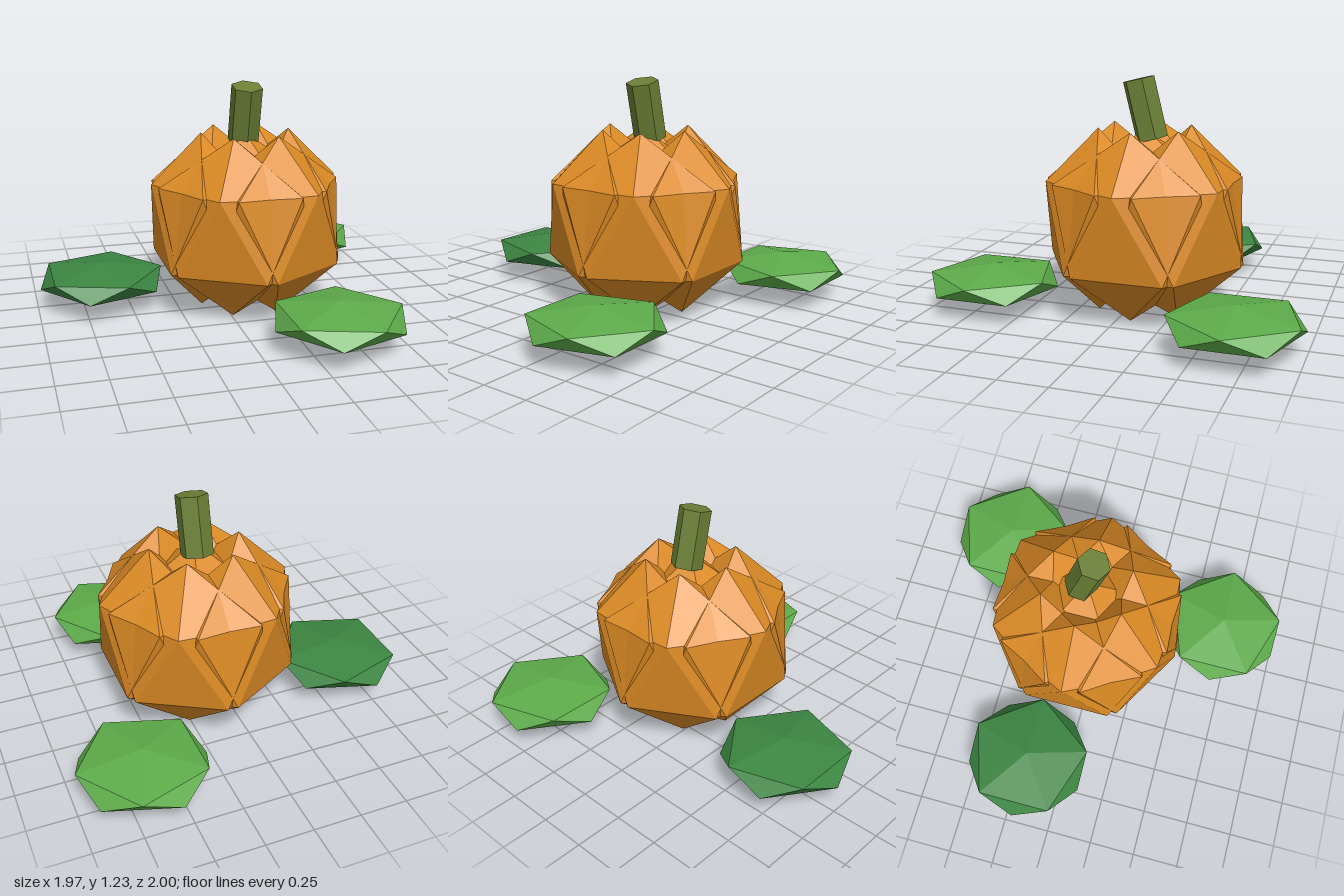
import * as THREE from 'three';

const mat = (name, color) => {
  const m = new THREE.MeshStandardMaterial({ color, flatShading: true });
  m.name = name;
  return m;
};

// Icosahedron standing on a corner, with an upper ring corner towards +x
function pointedIco(rx, ry, rz) {
  return new THREE.IcosahedronGeometry(1, 0)
    .rotateZ(Math.atan(2 / (1 + Math.sqrt(5))))
    .rotateY(Math.PI)
    .scale(rx, ry, rz);
}

export function createModel() {
  const orange = mat('pumpkin orange', 0xdb8a24);
  const stemGreen = mat('stem green', 0x6b7f35);
  const leafGreen = mat('leaf green', 0x5dab4a);
  const darkGreen = mat('dark leaf green', 0x3c8642);

  const model = new THREE.Group();
  const add = (parent, name, geometry, material, x, y, z) => {
    const mesh = new THREE.Mesh(geometry, material);
    mesh.name = name;
    mesh.position.set(x, y, z);
    parent.add(mesh);
    return mesh;
  };

  // Pumpkin: a core with six lobes around it
  const pumpkin = new THREE.Group();
  pumpkin.name = 'pumpkin';
  pumpkin.position.set(0.133, 0.49, -0.07);
  model.add(pumpkin);
  add(pumpkin, 'core', pointedIco(0.42, 0.475, 0.42), orange, 0, 0, 0);
  const lobe = pointedIco(0.307, 0.486, 0.453);
  for (let i = 0; i < 6; i++) {
    const a = (i * Math.PI) / 3;
    add(pumpkin, 'lobe', lobe, orange, 0.245 * Math.cos(a), 0, 0.245 * Math.sin(a)).rotation.y = -a;
  }

  // Six-sided stem leaning forwards
  const stem = new THREE.CylinderGeometry(0.086, 0.086, 0.315, 6);
  add(model, 'stem', stem, stemGreen, 0.133, 1.065, -0.07).rotation.x = 0.24;

  // Flat leaves on the ground around the pumpkin
  const leaf = pointedIco(0.374, 0.091, 0.374);
  add(model, 'leftLeaf', leaf, leafGreen, 0.647, 0.16, -0.68);
  add(model, 'frontLeaf', leaf, leafGreen, 0.407, 0.16, 0.68);
  add(model, 'rightLeaf', leaf, darkGreen, -0.65, 0.16, -0.21);

  return model;
}
